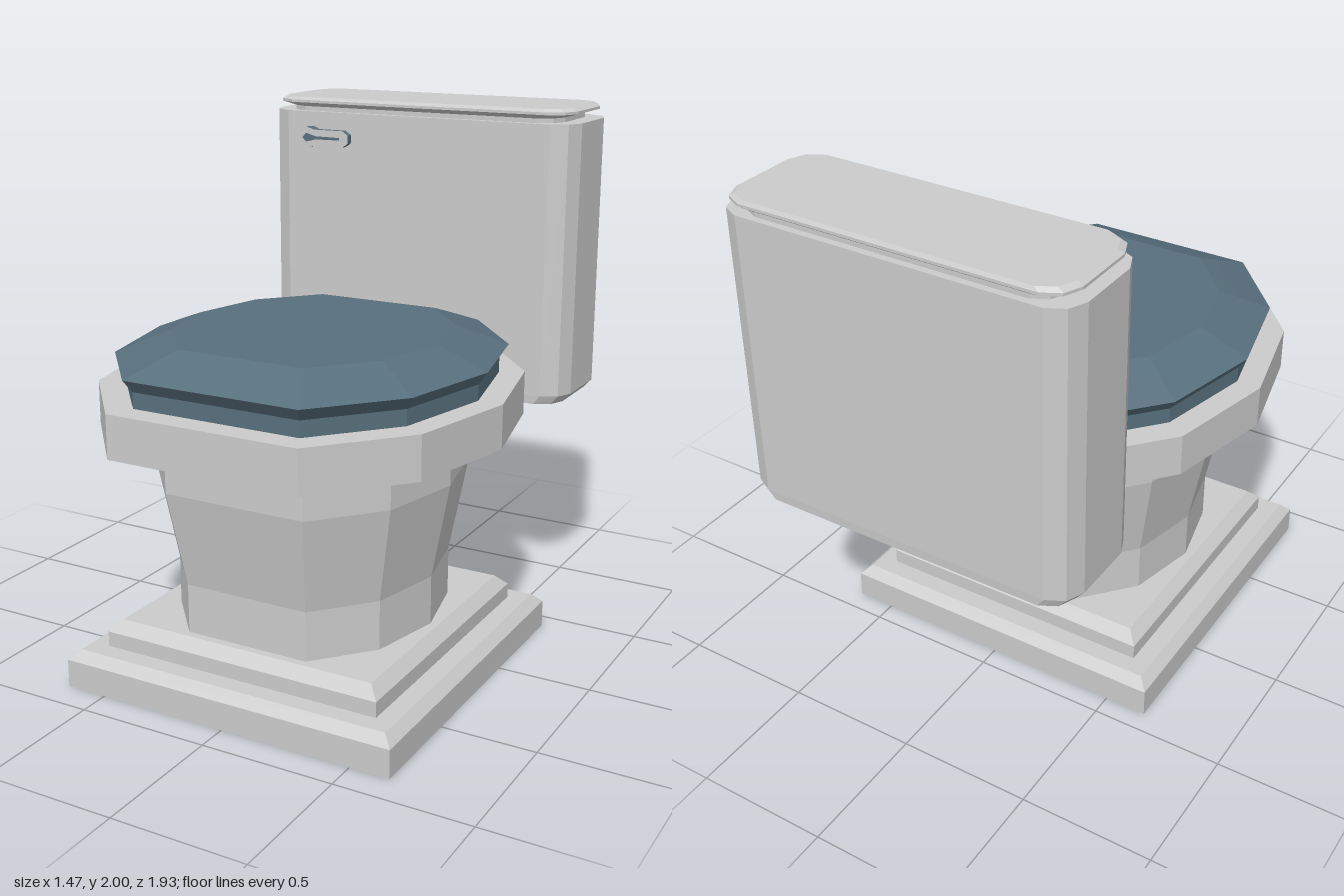
import * as THREE from 'three';

const ceramic = new THREE.MeshStandardMaterial({ color: 0xcccccc });
ceramic.name = 'pale grey ceramic';
const blue = new THREE.MeshStandardMaterial({ color: 0x58707d });
blue.name = 'slate blue';

// Unit outlines as [x, z], going from +x towards +z
const DECAGON = [[1, 0], [0.87, 0.575], [0.5, 1], [-0.5, 1], [-0.87, 0.575],
  [-1, 0], [-0.87, -0.575], [-0.5, -1], [0.5, -1], [0.87, -0.575]];
const SQUARE = [[1, -1], [1, 1], [-1, 1], [-1, -1]];

// Rectangle with two-step corners, scaled to unit half sizes
function tankOutline() {
  const corner = [[1, 0.55], [0.957, 0.85], [0.86, 1]];
  const flipped = (sx, sz) => corner.map(([x, z]) => [x * sx, z * sz]);
  return [...flipped(1, 1), ...flipped(-1, 1).reverse(),
    ...flipped(-1, -1), ...flipped(1, -1).reverse()];
}

// Faceted solid through rings [y, halfX, halfZ] of one outline
function loft(name, outline, rings, z, material) {
  const n = outline.length;
  const pos = [];
  const at = (r, i) => {
    const [x, pz] = outline[i % n];
    const [y, hx, hz = hx] = rings[r];
    return [x * hx, y, pz * hz];
  };
  const tri = (a, b, c) => pos.push(...a, ...b, ...c);
  for (let r = 0; r < rings.length - 1; r++) {
    for (let i = 0; i < n; i++) {
      tri(at(r, i), at(r + 1, i), at(r, i + 1));
      tri(at(r, i + 1), at(r + 1, i), at(r + 1, i + 1));
    }
  }
  const top = rings.length - 1;
  for (let i = 1; i < n - 1; i++) {
    tri(at(0, 0), at(0, i), at(0, i + 1));
    tri(at(top, 0), at(top, i + 1), at(top, i));
  }
  const geo = new THREE.BufferGeometry();
  geo.setAttribute('position', new THREE.Float32BufferAttribute(pos, 3));
  geo.computeVertexNormals();
  const mesh = new THREE.Mesh(geo, material);
  mesh.name = name;
  mesh.position.z = z;
  return mesh;
}

function createHandle() {
  const handle = new THREE.Group();
  handle.name = 'flushHandle';

  // Lever: round head tapering into a rounded arm
  const shape = new THREE.Shape();
  shape.moveTo(0.035, -0.032);
  shape.lineTo(0.165, -0.032);
  shape.lineTo(0.188, -0.016);
  shape.lineTo(0.188, 0.016);
  shape.lineTo(0.165, 0.032);
  shape.lineTo(0.035, 0.032);
  for (let a = 60; a <= 300; a += 30) {
    const t = THREE.MathUtils.degToRad(a);
    shape.lineTo(0.042 * Math.cos(t), 0.042 * Math.sin(t));
  }
  const lever = new THREE.Mesh(
    new THREE.ExtrudeGeometry(shape, { depth: 0.027, bevelEnabled: false }), [ceramic, blue]);
  lever.name = 'lever';
  lever.position.z = 0.028;

  // Pivot joining the lever to the tank
  const pivot = new THREE.Mesh(new THREE.CylinderGeometry(0.04, 0.04, 0.045, 10), blue);
  pivot.name = 'pivot';
  pivot.rotation.x = Math.PI / 2;
  pivot.position.z = 0.01;

  // Inlay on the lever face
  const inlayShape = new THREE.Shape([[-0.018, 0], [0, -0.017], [0.045, -0.006],
    [0.15, -0.005], [0.15, 0.005], [0.045, 0.006], [0, 0.017]]
    .map(([x, y]) => new THREE.Vector2(x, y)));
  const inlay = new THREE.Mesh(
    new THREE.ExtrudeGeometry(inlayShape, { depth: 0.003, bevelEnabled: false }), blue);
  inlay.name = 'leverInlay';
  inlay.position.z = 0.054;

  handle.add(lever, pivot, inlay);
  handle.position.set(-0.447, 1.848, -0.537);
  return handle;
}

export function createModel() {
  const model = new THREE.Group();
  model.name = 'toilet';
  const fixture = new THREE.Group();
  fixture.name = 'fixture';
  fixture.position.x = -0.005;
  model.add(fixture);
  const bowlZ = 0.233;
  const tankZ = -0.752;
  const tank = tankOutline();

  fixture.add(
    // Stepped square base
    loft('lowerPlinth', SQUARE, [[0, 0.653], [0.105, 0.653], [0.14, 0.617]], bowlZ, ceramic),
    loft('upperPlinth', SQUARE, [[0.14, 0.547], [0.197, 0.547], [0.238, 0.507]], bowlZ, ceramic),
    // Bowl and rim
    loft('bowl', DECAGON, [[0.238, 0.478], [0.42, 0.478], [0.775, 0.545], [0.938, 0.545]], bowlZ, ceramic),
    loft('rim', DECAGON, [[0.938, 0.733], [1.097, 0.733]], bowlZ, ceramic),
    // Seat and domed lid
    loft('seat', DECAGON, [[1.097, 0.642], [1.155, 0.642]], bowlZ, blue),
    loft('seatLid', DECAGON, [[1.155, 0.642], [1.2, 0.674], [1.25, 0.55], [1.275, 0.485]], bowlZ, blue),
    // Tank and its lid
    loft('tank', tank, [[0.865, 0.622, 0.213], [0.9, 0.653, 0.215], [1.945, 0.653, 0.215]], tankZ, ceramic),
    loft('tankLid', tank, [[1.945, 0.58, 0.19], [1.962, 0.58, 0.19], [1.978, 0.635, 0.213],
      [1.988, 0.635, 0.213], [2, 0.615, 0.205]], tankZ, ceramic),
  );

  // Bridge from rim to tank
  const bridge = new THREE.Mesh(new THREE.BoxGeometry(0.733, 0.157, 0.08), ceramic);
  bridge.name = 'tankBridge';
  bridge.position.set(0, 1.017, -0.525);
  fixture.add(bridge, createHandle());

  return model;
}
